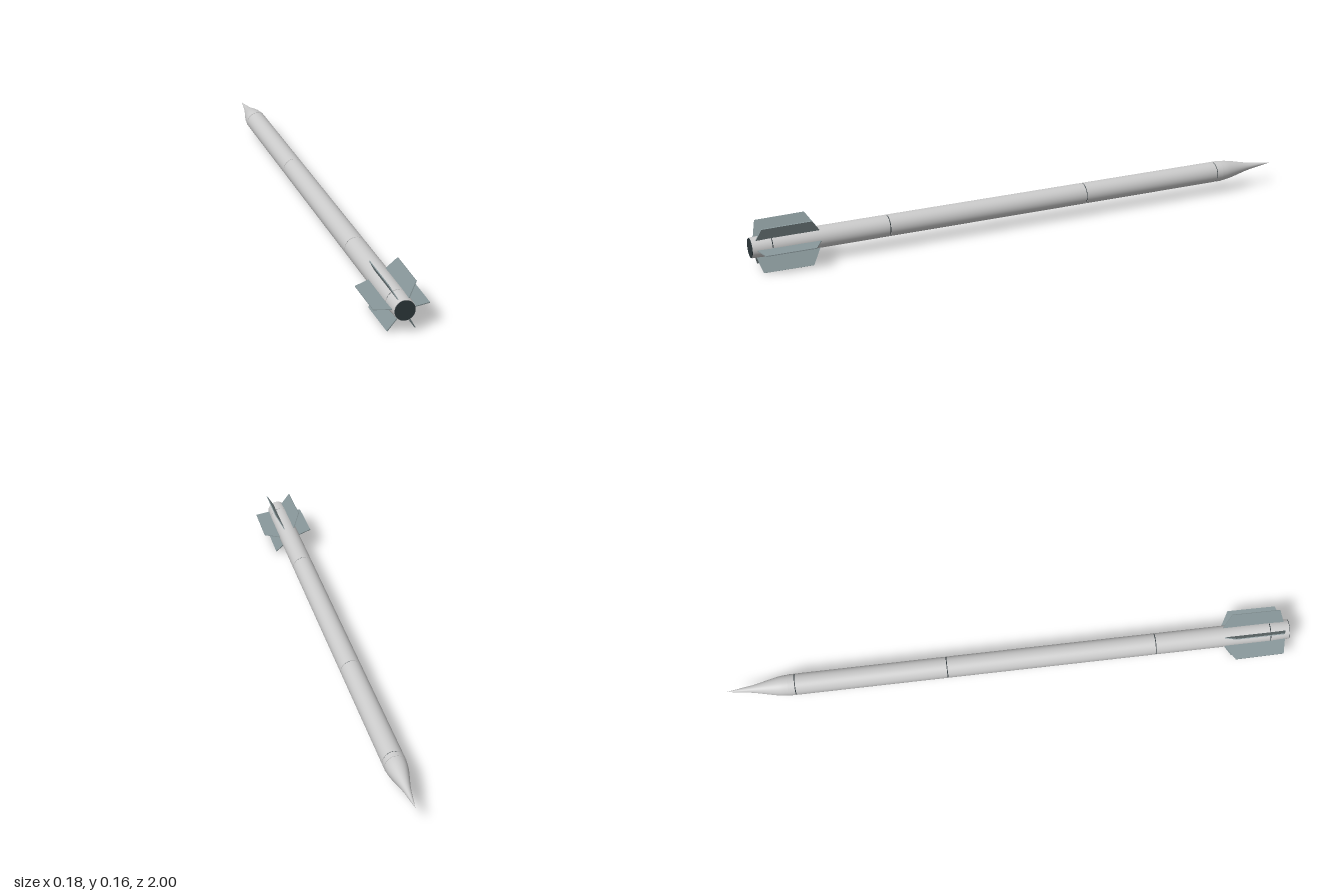
import * as THREE from 'three';

const AXIS_Y = 0.08; // height of the body axis
const R = 0.0375; // body radius
const SIDES = 48;

const grey = new THREE.MeshStandardMaterial({ color: 0xcccccc });
const finGrey = new THREE.MeshStandardMaterial({ color: 0x8a999c });
const dark = new THREE.MeshStandardMaterial({ color: 0x2c363a });

export function createModel() {
  const rocket = new THREE.Group();
  rocket.name = 'rocket';
  const axis = new THREE.Group();
  axis.name = 'airframe';
  axis.position.y = AXIS_Y;
  rocket.add(axis);

  function add(name, geometry, material) {
    const mesh = new THREE.Mesh(geometry, material);
    mesh.name = name;
    axis.add(mesh);
    return mesh;
  }

  // Tube running along z from z0 (radius r0) to z1 (radius r1)
  function tube(name, z0, z1, r0, r1, material = grey) {
    const g = new THREE.CylinderGeometry(r1, r0, z1 - z0, SIDES);
    g.rotateX(Math.PI / 2).translate(0, 0, (z0 + z1) / 2);
    return add(name, g, material);
  }

  // Body sections, separated by narrow dark grooves
  const seams = [-0.78, -0.755, -0.22, 0.52, 0.93];
  const names = ['noseCollar', 'forwardBody', 'midBody', 'aftBody'];
  const gap = 0.0015;
  names.forEach((name, i) => tube(name, seams[i] + (i ? gap : 0), seams[i + 1] - gap, R, R));
  seams.slice(1).forEach((z) => tube('seam', z - 0.003, z + 0.003, R - 0.0015, R - 0.0015, dark));

  // Tapered tail section and dark nozzle face
  tube('tailSection', 0.93 + gap, 0.998, R, 0.0345);
  tube('nozzle', 0.99, 1, 0.033, 0.033, dark);

  // Nose with a rounded shoulder flaring out from a slender tip
  const profile = new THREE.SplineCurve([
    [R - 0.001, 0.78], [0.0345, 0.805], [0.029, 0.835], [0.021, 0.87],
    [0.0135, 0.905], [0.007, 0.95], [0, 1],
  ].map(([r, z]) => new THREE.Vector2(r, z)));
  const points = profile.getPoints(36);
  points.forEach((p) => { p.x = Math.max(p.x, 0); });
  add('noseCone', new THREE.LatheGeometry(points, SIDES).rotateX(-Math.PI / 2), grey);

  // Six thin fins: outline is (radius, z)
  const outline = new THREE.Shape([
    [0.03, 0.765], [R, 0.765], [0.092, 0.797], [0.09, 0.968], [R, 0.982], [0.03, 0.982],
  ].map(([r, z]) => new THREE.Vector2(r, z)));
  const thickness = 0.003;
  const finGeometry = new THREE.ExtrudeGeometry(outline, { depth: thickness, bevelEnabled: false });
  finGeometry.translate(0, 0, -thickness / 2).rotateX(Math.PI / 2);
  for (let i = 0; i < 6; i++) {
    add('fin', finGeometry, finGrey).rotation.z = (i * Math.PI) / 3;
  }

  return rocket;
}
